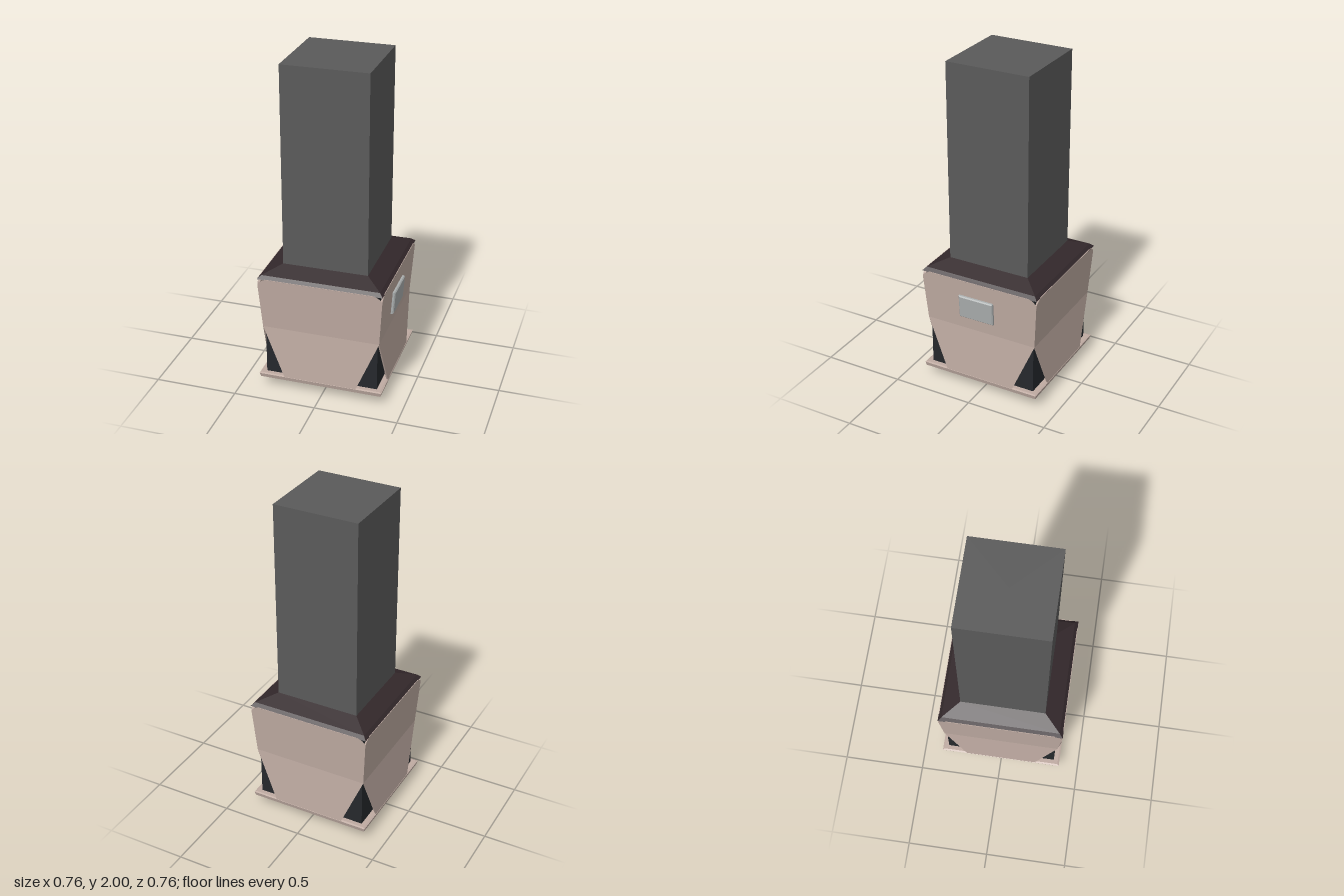
import * as THREE from 'three';

const mat = (color, side = THREE.FrontSide) => new THREE.MeshStandardMaterial({ color, side });
const TAN = 0xbfaba2, DARK = 0x25282c, MAROON = 0x33282b, GREY = 0x5a5a5a;

function add(parent, name, geometry, material) {
  const mesh = new THREE.Mesh(geometry, material);
  mesh.name = name;
  parent.add(mesh);
  return mesh;
}

// Square solid from a profile of [half width, y], bottom to top, with flat faces
function squareLoft(profile) {
  const pts = profile.map(([h, y]) => new THREE.Vector2(h * Math.SQRT2, y));
  const g = new THREE.LatheGeometry(pts, 4, Math.PI / 4).toNonIndexed();
  g.computeVertexNormals();
  return g;
}

// Outer distance of the side panels at height y: waisted at 0.41
const WAIST = 0.41;
const reach = y => 0.355 + (y > WAIST ? (y - WAIST) * 0.068 : (WAIST - y) * 0.066);

// Thin panel leaning with the body, its edges mitred towards the neighbours
function panelGeometry(outline) {
  const depth = 0.012;
  const shape = new THREE.Shape(outline.map(p => new THREE.Vector2(...p)));
  const g = new THREE.ExtrudeGeometry(shape, { depth, bevelEnabled: false });
  const p = g.attributes.position;
  for (let i = 0; i < p.count; i++) {
    const out = reach(p.getY(i)), z = out - depth + p.getZ(i);
    p.setXYZ(i, p.getX(i) * z / out, p.getY(i), z);
  }
  g.computeVertexNormals();
  return g;
}

export function createModel() {
  const model = new THREE.Group();
  model.name = 'squareColumnWithHousing';
  const body = new THREE.Group();
  body.name = 'body';
  body.position.x = -0.007;
  model.add(body);

  // Tall column and sloping collar
  add(body, 'column', squareLoft([[0, 0.7], [0.256, 0.7], [0.256, 2], [0, 2]]), mat(GREY));
  add(body, 'collar', squareLoft([[0, 0.725], [0.34, 0.725], [0.377, 0.732], [0.356, 0.752], [0.256, 0.793], [0, 0.793]]), mat(MAROON));

  // Dark core seen at the cut corners
  add(body, 'core', squareLoft([[0, 0.08], [0.342, 0.08], [0.342, 0.73], [0, 0.73]]), mat(DARK));

  // Four two-part side panels
  const upper = panelGeometry([[-0.355, WAIST], [0.355, WAIST], [0.375, 0.7], [0.365, 0.713], [0.33, 0.735],
    [-0.33, 0.735], [-0.365, 0.713], [-0.375, 0.7]]);
  const lower = panelGeometry([[-0.22, 0.09], [0.22, 0.09], [0.355, WAIST], [-0.355, WAIST]]);
  for (let i = 0; i < 4; i++) {
    const side = new THREE.Group();
    side.name = 'sidePanel' + (i + 1);
    side.rotation.y = i * Math.PI / 2;
    add(side, 'upperPanel', upper, mat(TAN));
    add(side, 'lowerPanel', lower, mat(TAN));
    body.add(side);
  }

  // Base plate with bevelled underside
  add(body, 'basePlate', squareLoft([[0, 0.043], [0.335, 0.043], [0.372, 0.068], [0.378, 0.092], [0.368, 0.096], [0, 0.09]]), mat(TAN));

  // Round ring and shallow lens underneath
  const ring = [[0.205, 0.045], [0.205, 0.014], [0.212, 0.003], [0.222, 0], [0.236, 0.004], [0.246, 0.013], [0.25, 0.025], [0.25, 0.045]];
  add(body, 'lensRing', new THREE.LatheGeometry(ring.map(p => new THREE.Vector2(...p)), 48), mat(DARK, THREE.DoubleSide));
  const lens = [[0, 0.012], [0.07, 0.014], [0.14, 0.019], [0.207, 0.028]];
  add(body, 'lens', new THREE.LatheGeometry(lens.map(p => new THREE.Vector2(...p)), 48), mat(GREY));

  // Bevelled plate on the left side, leaning with the panel
  const w = 0.106, h = 0.066;
  const plate = new THREE.Shape([[-w, -h], [w, -h], [w, h], [-w, h]].map(p => new THREE.Vector2(...p)));
  const geometry = new THREE.ExtrudeGeometry(plate, { depth: 0.012, bevelThickness: 0.006, bevelSize: 0.006, bevelSegments: 1 });
  geometry.rotateX(0.068).rotateY(Math.PI / 2);
  const y = 0.563;
  add(body, 'sidePlate', geometry, mat(0xaaaeae)).position.set(reach(y) - 0.001, y, 0.017);

  return model;
}
